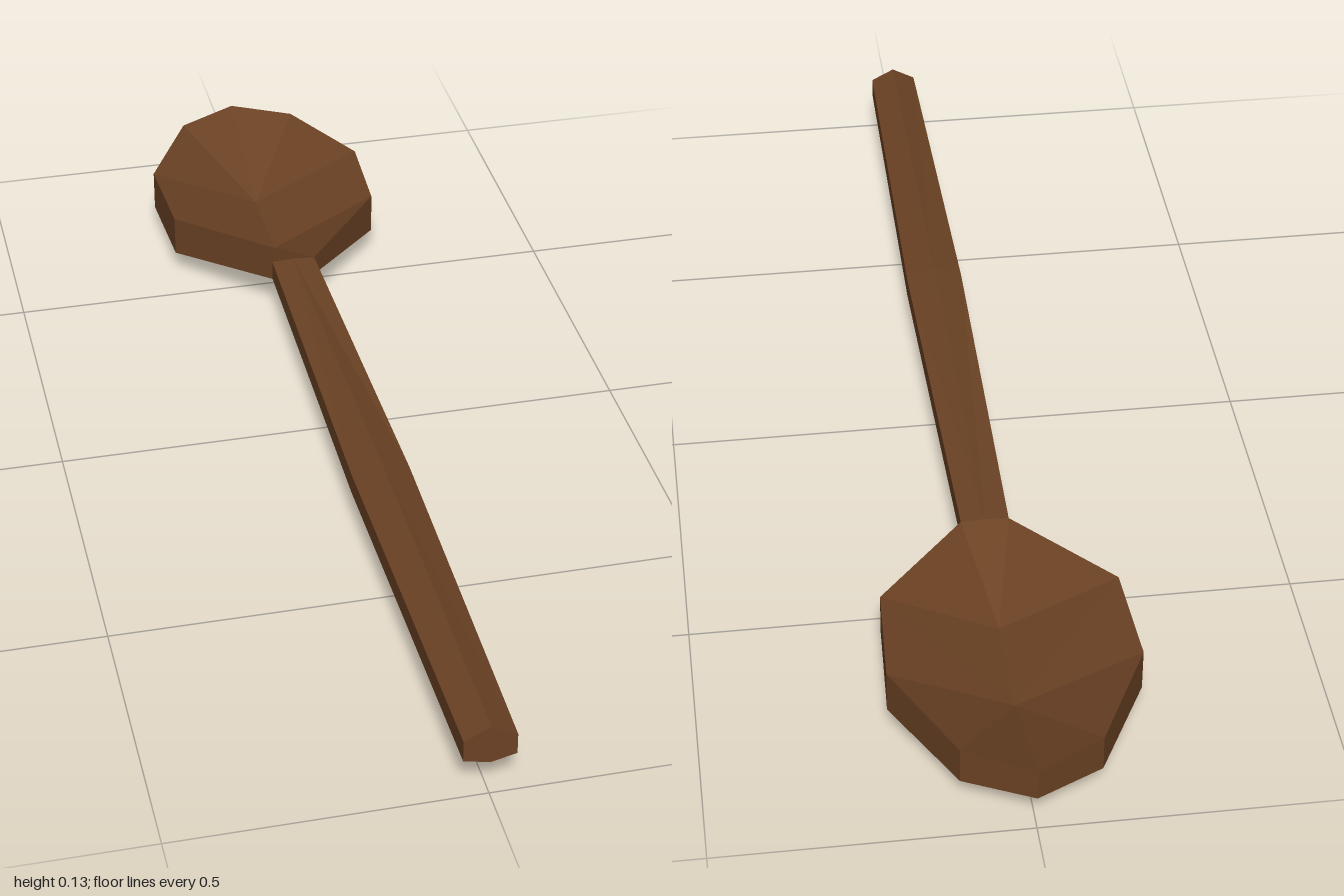
import * as THREE from 'three';

// Each section: [z, half width, centre top, side top, side bottom, keel]
const handleSections = [
  [1.0, 0.042, 0.132, 0.11, 0.073, 0.063],
  [0.3, 0.05, 0.132, 0.11, 0.073, 0.063],
  [-0.4, 0.04, 0.112, 0.11, 0.073, 0.063],
];
const bowlSections = [
  handleSections[2],
  [-0.58, 0.193, 0.03, 0.12, 0.045, 0.002],
  [-0.76, 0.202, 0.03, 0.12, 0.045, 0.002],
  [-0.94, 0.11, 0.0975, 0.12, 0.056, 0.049],
  [-1.0, 0, 0.12, 0.12, 0.065, 0.065],
];

// Six-cornered ring, clockwise as seen from the front
const ring = ([z, w, top, sideTop, sideBottom, keel]) => [
  [0, top, z], [w, sideTop, z], [w, sideBottom, z],
  [0, keel, z], [-w, sideBottom, z], [-w, sideTop, z],
];

// Loft the rings; folds run from side to centre, mirrored left and right.
// Spans from index flipFrom on fold the other way.
function loft(sections, flipFrom, capFront) {
  const rings = sections.map(ring);
  const pos = [];
  const tri = (a, b, c) => {
    const same = (p, q) => p.every((v, k) => Math.abs(v - q[k]) < 1e-6);
    if (!same(a, b) && !same(b, c) && !same(a, c)) pos.push(...a, ...b, ...c);
  };
  for (let s = 0; s < rings.length - 1; s++) {
    const a = rings[s], b = rings[s + 1];
    for (let i = 0; i < 6; i++) {
      const j = (i + 1) % 6;
      if ((i % 3 === 0) !== (s >= flipFrom)) {
        tri(a[i], a[j], b[i]);
        tri(a[j], b[j], b[i]);
      } else {
        tri(a[i], a[j], b[j]);
        tri(a[i], b[j], b[i]);
      }
    }
  }
  if (capFront) {
    const r = rings[0];
    for (let i = 1; i < 5; i++) tri(r[0], r[i + 1], r[i]);
  }
  const geometry = new THREE.BufferGeometry();
  geometry.setAttribute('position', new THREE.Float32BufferAttribute(pos, 3));
  geometry.computeVertexNormals();
  return geometry;
}

export function createModel() {
  const wood = new THREE.MeshStandardMaterial({ color: 0x6b4224 });
  wood.name = 'brownWood';
  wood.flatShading = true;

  const spoon = new THREE.Group();
  spoon.name = 'woodenSpoon';

  // Faceted handle with a raised ridge
  const handle = new THREE.Mesh(loft(handleSections, 99, true), wood);
  handle.name = 'handle';

  // Hollow bowl with a keeled underside and pointed tip
  const bowl = new THREE.Mesh(loft(bowlSections, 2, false), wood);
  bowl.name = 'bowl';

  spoon.add(handle, bowl);
  return spoon;
}
